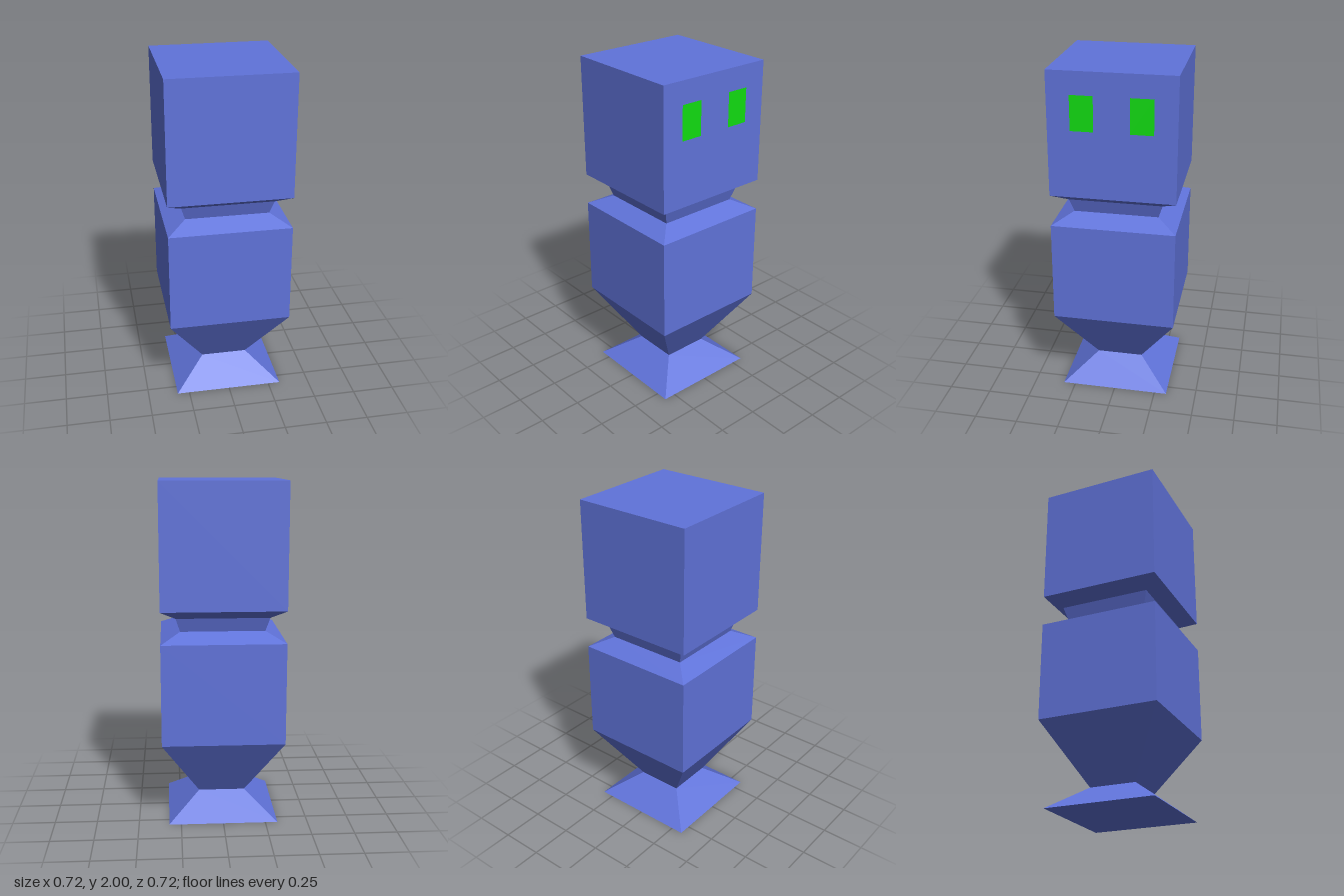
import * as THREE from 'three';

const blue = new THREE.MeshStandardMaterial({ color: 0x6073da, flatShading: true });
const green = new THREE.MeshStandardMaterial({ color: 0x11dd11 });

// Square-section solid from [half width, height] pairs, listed bottom to top
function squareSection(name, profile) {
  const points = profile.map(([half, y]) => new THREE.Vector2(half * Math.SQRT2, y));
  const mesh = new THREE.Mesh(new THREE.LatheGeometry(points, 4, Math.PI / 4), blue);
  mesh.name = name;
  return mesh;
}

export function createModel() {
  const model = new THREE.Group();
  model.name = 'blockFigure';

  // Flared foot with a shallow hollow underneath
  model.add(squareSection('foot', [[0, 0.1], [0.322, 0], [0.137, 0.14]]));
  // Tapered lower body, straight torso and sloping shoulders
  model.add(squareSection('torso', [[0.137, 0.14], [0.358, 0.5], [0.358, 1.095], [0.245, 1.15]]));
  // Narrow neck, widening upwards
  model.add(squareSection('neck', [[0.245, 1.15], [0.27, 1.23]]));
  // Cubic head with bevelled underside
  model.add(squareSection('head', [[0.27, 1.23], [0.358, 1.282], [0.358, 2], [0, 2]]));

  // Pair of flat eyes on the +x face
  for (const side of [1, -1]) {
    const eye = new THREE.Mesh(new THREE.PlaneGeometry(0.13, 0.2), green);
    eye.name = side > 0 ? 'frontEye' : 'backEye';
    eye.rotation.y = Math.PI / 2;
    eye.position.set(0.36, 1.77, side * 0.165);
    model.add(eye);
  }
  return model;
}
